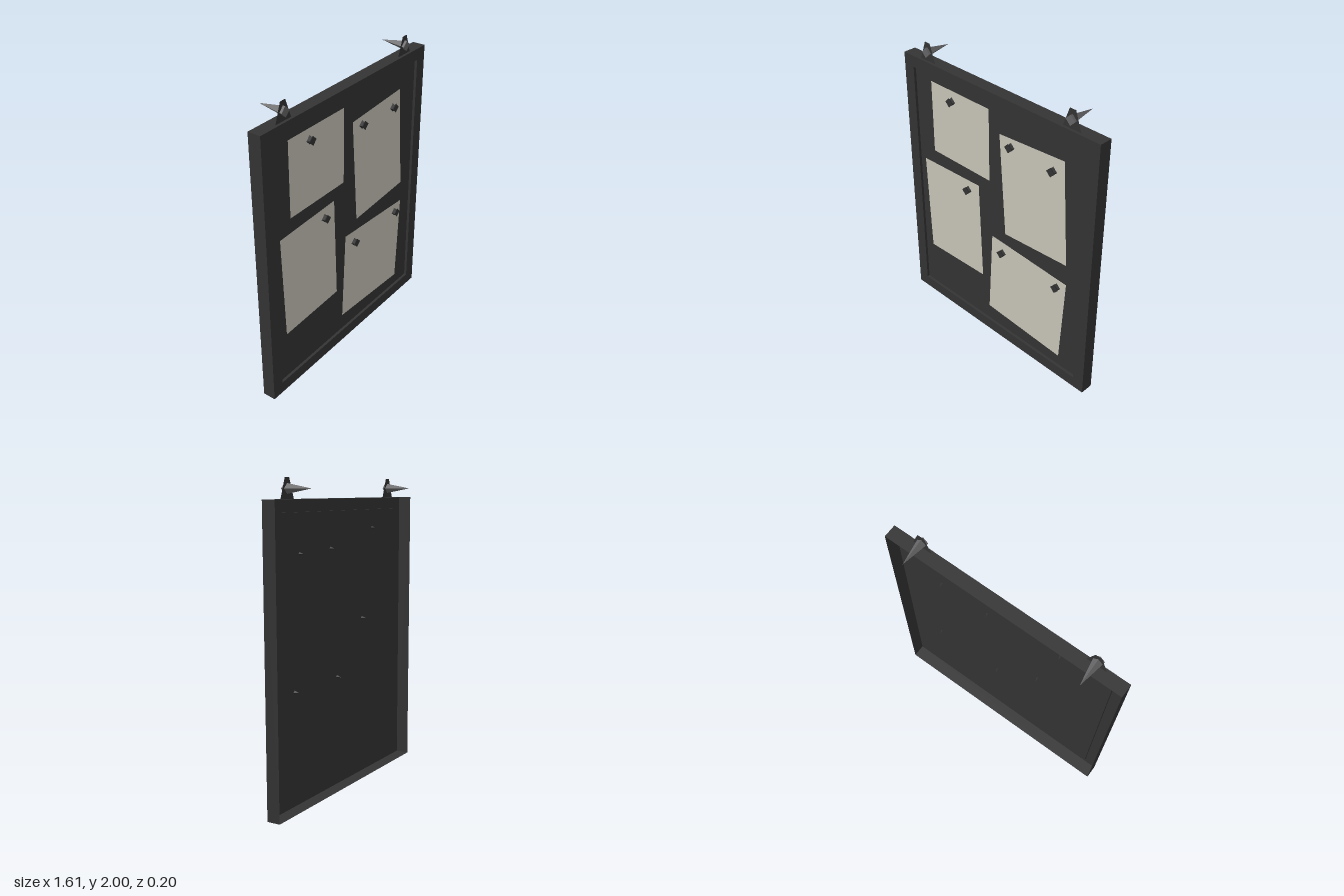
import * as THREE from 'three';

const mat = (name, color) => {
  const m = new THREE.MeshStandardMaterial({ color, side: THREE.DoubleSide, flatShading: true });
  m.name = name;
  return m;
};

const rectPoints = (hx, y0, y1) => [[-hx, y0], [hx, y0], [hx, y1], [-hx, y1]];

// Four walls around a rectangle, open at both ends
function wallRing(hx, y0, y1, z0, z1) {
  const c = rectPoints(hx, y0, y1);
  const pos = [];
  for (let i = 0; i < 4; i++) {
    const [ax, ay] = c[i], [bx, by] = c[(i + 1) % 4];
    pos.push(ax, ay, z0, bx, by, z0, bx, by, z1, ax, ay, z0, bx, by, z1, ax, ay, z1);
  }
  const g = new THREE.BufferGeometry();
  g.setAttribute('position', new THREE.Float32BufferAttribute(pos, 3));
  g.computeVertexNormals();
  return g;
}

const polygon = (pts) => new THREE.Shape(pts.map(([x, y]) => new THREE.Vector2(x, y)));

export function createModel() {
  const dark = mat('charcoal', 0x343434);
  const cream = mat('paper cream', 0xc9c5b8);
  const steel = mat('nail grey', 0x666668);
  const model = new THREE.Group();
  const add = (name, geometry, material, x = 0, y = 0, z = 0) => {
    const mesh = new THREE.Mesh(geometry, material);
    mesh.name = name;
    mesh.position.set(x, y, z);
    model.add(mesh);
    return mesh;
  };

  const W = 0.807, H = 1.877, FRONT = 0.088, PANEL = 0.07;
  const IN = 0.724, LO = 0.08, HI = 1.8;

  // Frame: outer walls open at the back, flat front border, inner lip
  add('frameWalls', wallRing(W, 0, H, 0, FRONT), dark);
  const border = polygon(rectPoints(W, 0, H));
  border.holes.push(polygon(rectPoints(IN, LO, HI)));
  add('frameFront', new THREE.ShapeGeometry(border), dark, 0, 0, FRONT);
  add('frameLip', wallRing(IN, LO, HI, PANEL, FRONT), dark);

  // Recessed board
  add('board', new THREE.PlaneGeometry(IN * 2, HI - LO), dark, 0, (LO + HI) / 2, PANEL);

  // Pinned sheets: x, y, width, height, tilt
  for (const [x, y, w, h, tilt] of [
    [-0.314, 1.497, 0.518, 0.508, 0],
    [0.32, 1.278, 0.52, 0.721, 0.07],
    [-0.401, 0.79, 0.519, 0.719, 0.036],
    [0.272, 0.493, 0.647, 0.627, -0.055],
  ]) {
    add('paper', new THREE.PlaneGeometry(w, h), cream, x, y, PANEL + 0.005).rotation.z = tilt;
  }

  // Four-sided push pins whose points come through the back of the board
  const pinProfile = [[0, 0.04], [0.012, 0.07], [0.03, 0.076], [0.02, 0.09], [0.032, 0.101], [0, 0.101]]
    .map(([r, h]) => new THREE.Vector2(r, h));
  const pin = new THREE.LatheGeometry(pinProfile, 4).rotateX(Math.PI / 2);
  for (const [x, y] of [
    [-0.383, 1.677], [0.133, 1.569], [0.472, 1.556],
    [-0.253, 1.082], [0.062, 0.735], [0.538, 0.73],
  ]) add('pushPin', pin, dark, x, y);

  // Hanging tabs with a nail through each
  const tab = new THREE.ShapeGeometry(polygon([[-0.066, H], [0.066, H], [0.022, 2], [-0.022, 2]]));
  const nail = new THREE.ConeGeometry(0.034, 0.188, 4).rotateX(-Math.PI / 2);
  for (const x of [-0.597, 0.59]) {
    add('hangerTab', tab, dark, x, 0, 0.07);
    add('nail', nail, steel, x, 1.937, -0.006);
  }

  return model;
}
